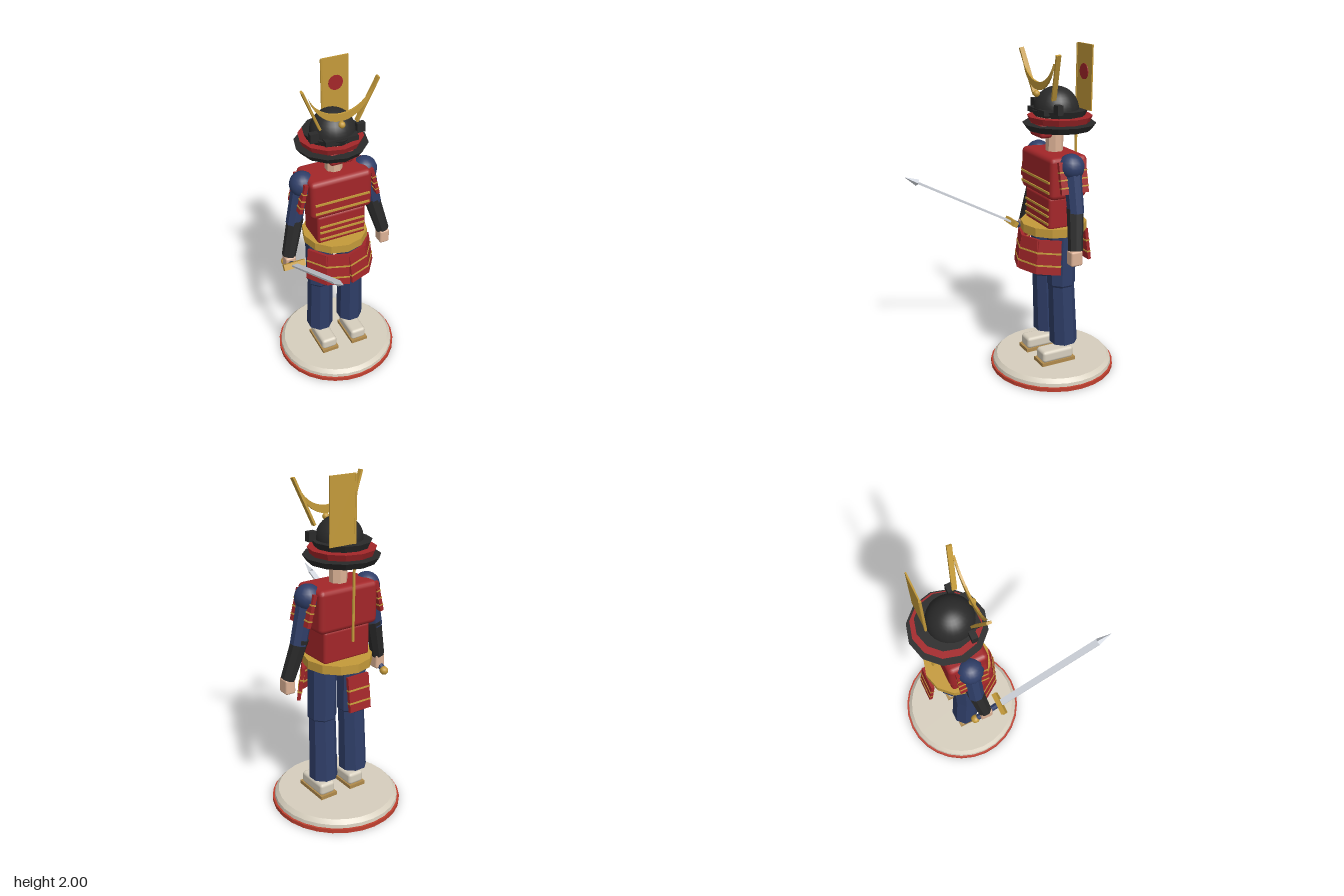
import * as THREE from 'three';
import { toCreasedNormals } from 'three/addons/utils/BufferGeometryUtils.js';
import { RoundedBoxGeometry } from 'three/addons/geometries/RoundedBoxGeometry.js';

const paint = (name, color) => {
  const m = new THREE.MeshStandardMaterial({ color });
  m.name = name;
  return m;
};

export function createModel() {
  const red = paint('lacquer red', 0xa32629);
  const rim = paint('rim red', 0xc0402f);
  const navy = paint('navy cloth', 0x2f3e68);
  const black = paint('black iron', 0x2a2a2a);
  const gold = paint('gold', 0xc49a3a);
  const skin = paint('skin', 0xdcb195);
  const cream = paint('cream', 0xd6cebd);
  const steel = paint('steel', 0xd0d4dc);
  const wood = paint('sandal wood', 0xb08a4c);

  const model = new THREE.Group();
  model.name = 'armouredFigure';
  const Z = -0.22; // body axis

  const add = (name, geo, mat, x = 0, y = 0, z = 0, parent = model) => {
    const m = new THREE.Mesh(geo, mat);
    m.name = name;
    m.position.set(x, y, z);
    parent.add(m);
    return m;
  };
  const group = (name, x, y, z, parent = model) => {
    const g = new THREE.Group();
    g.name = name;
    g.position.set(x, y, z);
    parent.add(g);
    return g;
  };
  const flat = (geo) => toCreasedNormals(geo, 0.2);
  const box = (w, h, d) => new THREE.BoxGeometry(w, h, d);
  const soft = (w, h, d, r = 0.02) => new RoundedBoxGeometry(w, h, d, 2, r);
  const drum = (top, bottom, h, n) => flat(new THREE.CylinderGeometry(top, bottom, h, n));
  // Tapered limb from a to b
  const limb = (name, a, b, ra, rb, mat, n = 8) => {
    const p = new THREE.Vector3(...a), q = new THREE.Vector3(...b);
    const dir = q.clone().sub(p);
    const geo = drum(rb, ra, dir.length(), n).rotateY(Math.PI / n);
    const m = add(name, geo, mat, ...p.add(q).multiplyScalar(0.5).toArray());
    m.quaternion.setFromUnitVectors(new THREE.Vector3(0, 1, 0), dir.normalize());
    return m;
  };

  // Display base
  add('baseRim', drum(0.387, 0.387, 0.024, 28), rim, 0, 0.012, Z);
  const plinth = [[0, 0.024], [0.375, 0.024], [0.372, 0.045], [0.35, 0.068], [0, 0.068]]
    .map(([x, y]) => new THREE.Vector2(x, y));
  add('basePlinth', toCreasedNormals(new THREE.LatheGeometry(plinth, 28), 0.3), cream, 0, 0, Z);

  // Legs and feet
  const thigh = [[0, 0.565], [0.07, 0.565], [0.086, 0.59], [0.086, 0.9], [0.075, 0.93], [0, 0.93]]
    .map(([x, y]) => new THREE.Vector2(x, y));
  for (const s of [-1, 1]) {
    const x = s * 0.105;
    add('sandal', box(0.112, 0.022, 0.23), wood, x, 0.079, -0.185);
    add('sock', soft(0.104, 0.075, 0.21), cream, x, 0.122, -0.185);
    limb('trouserLeg', [s * 0.108, 0.195, -0.242], [s * 0.104, 0.58, -0.222], 0.085, 0.079, navy);
    const geo = flat(new THREE.LatheGeometry(thigh, 8).rotateY(Math.PI / 8));
    add('thigh', geo, navy, x, 0, Z);
  }

  // Torso armour
  add('belly', soft(0.312, 0.2, 0.21), red, 0, 1.045, -0.213);
  add('chest', soft(0.39, 0.25, 0.24, 0.03), red, 0, 1.26, -0.217);
  add('belt', drum(0.2, 0.2, 0.052, 12), gold, 0, 0.93, Z);
  for (const y of [1.24, 1.18]) add('chestLacing', box(0.345, 0.013, 0.012), gold, 0, y, -0.096);
  for (const y of [1.07, 1.03, 0.983]) add('bellyLacing', box(0.288, 0.012, 0.012), gold, 0, y, -0.107);

  // Skirt plates, flaring out around the hips
  for (const deg of [-55, -19.5, 19.5, 55, 180]) {
    const pivot = group('skirtPlate', 0, 0.787, Z);
    pivot.rotation.y = THREE.MathUtils.degToRad(deg);
    const tilt = group('plateTilt', 0, 0, 0.206, pivot);
    tilt.rotation.x = -0.14;
    add('plate', box(0.142, 0.205, 0.02), red, 0, 0, 0, tilt);
    for (const y of [0.025, -0.05]) add('plateLacing', box(0.144, 0.01, 0.026), gold, 0, y, 0, tilt);
  }

  // Arms
  for (const s of [-1, 1]) {
    add('shoulder', new THREE.SphereGeometry(0.077, 16, 12), navy, s * 0.2, 1.328, Z);
    limb('upperArm', [s * 0.265, 1.07, Z], [s * 0.21, 1.33, Z], 0.048, 0.052, navy);
    limb('forearm', [s * 0.318, 0.865, -0.192], [s * 0.252, 1.105, -0.222], 0.042, 0.05, black);
    add('hand', soft(0.064, 0.09, 0.075, 0.012), skin, s * 0.318, 0.825, -0.188);
    const guard = group('shoulderPlate', s * 0.229, 1.275, Z + 0.002);
    guard.rotation.z = s * 0.24;
    add('plate', box(0.022, 0.185, 0.175), red, 0, 0, 0, guard);
    for (const y of [0.035, -0.01, -0.055]) add('plateLacing', box(0.028, 0.008, 0.177), gold, 0, y, 0, guard);
  }

  // Sword, local y runs from pommel to point
  const sword = group('sword', -0.322, 0.862, -0.095);
  sword.rotation.x = THREE.MathUtils.degToRad(61.4);
  add('pommel', new THREE.SphereGeometry(0.026, 12, 8), gold, 0, -0.182, 0, sword);
  add('grip', drum(0.018, 0.018, 0.17, 8), navy, 0, -0.09, 0, sword);
  add('crossguard', box(0.135, 0.028, 0.036), gold, 0, 0, 0, sword);
  add('blade', box(0.038, 0.69, 0.011), steel, 0, 0.355, 0, sword);
  add('bladePoint', flat(new THREE.ConeGeometry(0.021, 0.09, 4)), steel, 0, 0.745, 0, sword);

  // Neck, head and face guard
  add('neck', drum(0.052, 0.052, 0.16, 8).rotateY(Math.PI / 8), skin, 0, 1.45, Z);
  add('head', new THREE.SphereGeometry(0.11, 16, 12), skin, 0, 1.588, -0.215);
  add('faceGuard', soft(0.15, 0.09, 0.08), red, 0, 1.52, -0.132);

  // Helmet: stacked neck guard rings, dome, side turnbacks
  add('lowerNeckGuard', drum(0.216, 0.19, 0.037, 12), black, 0, 1.53, -0.25);
  add('middleNeckGuard', drum(0.191, 0.176, 0.036, 12), red, 0, 1.573, -0.253);
  add('upperNeckGuard', drum(0.166, 0.15, 0.036, 12), black, 0, 1.612, -0.25);
  const dome = new THREE.SphereGeometry(0.132, 24, 10, 0, Math.PI * 2, 0, Math.PI / 2);
  add('helmetDome', dome, black, 0, 1.628, -0.228);
  add('helmetVisor', box(0.2, 0.03, 0.05), black, 0, 1.625, -0.12);
  for (const s of [-1, 1]) {
    add('helmetTurnback', box(0.05, 0.055, 0.035), black, s * 0.143, 1.648, -0.165);
    const a = [s * 0.112, 1.7, -0.15], b = [s * 0.223, 1.96, -0.115];
    const horn = limb('helmetHorn', a, b, 0.01, 0.01, gold, 4);
    horn.geometry = box(0.013, 0.285, 0.028);
  }

  // Crescent crest and boss
  const moon = new THREE.Shape();
  moon.moveTo(-0.188, 1.912);
  moon.bezierCurveTo(-0.12, 1.69, 0.12, 1.69, 0.188, 1.912);
  moon.bezierCurveTo(0.11, 1.75, -0.11, 1.75, -0.188, 1.912);
  const crest = new THREE.ExtrudeGeometry(moon, { depth: 0.012, bevelEnabled: false, curveSegments: 14 });
  add('crescentCrest', crest, gold, 0, 0, -0.115);
  add('crestBoss', new THREE.SphereGeometry(0.02, 12, 8), gold, 0, 1.725, -0.1);

  // Back banner with a round emblem
  add('bannerPole', drum(0.008, 0.008, 0.92, 8), gold, 0, 1.535, -0.365);
  add('banner', box(0.165, 0.37, 0.008), gold, 0.082, 1.815, -0.365);
  const disc = new THREE.CylinderGeometry(0.045, 0.045, 0.006, 20).rotateX(Math.PI / 2);
  add('bannerDisc', disc, red, 0.083, 1.845, -0.36);

  return model;
}
